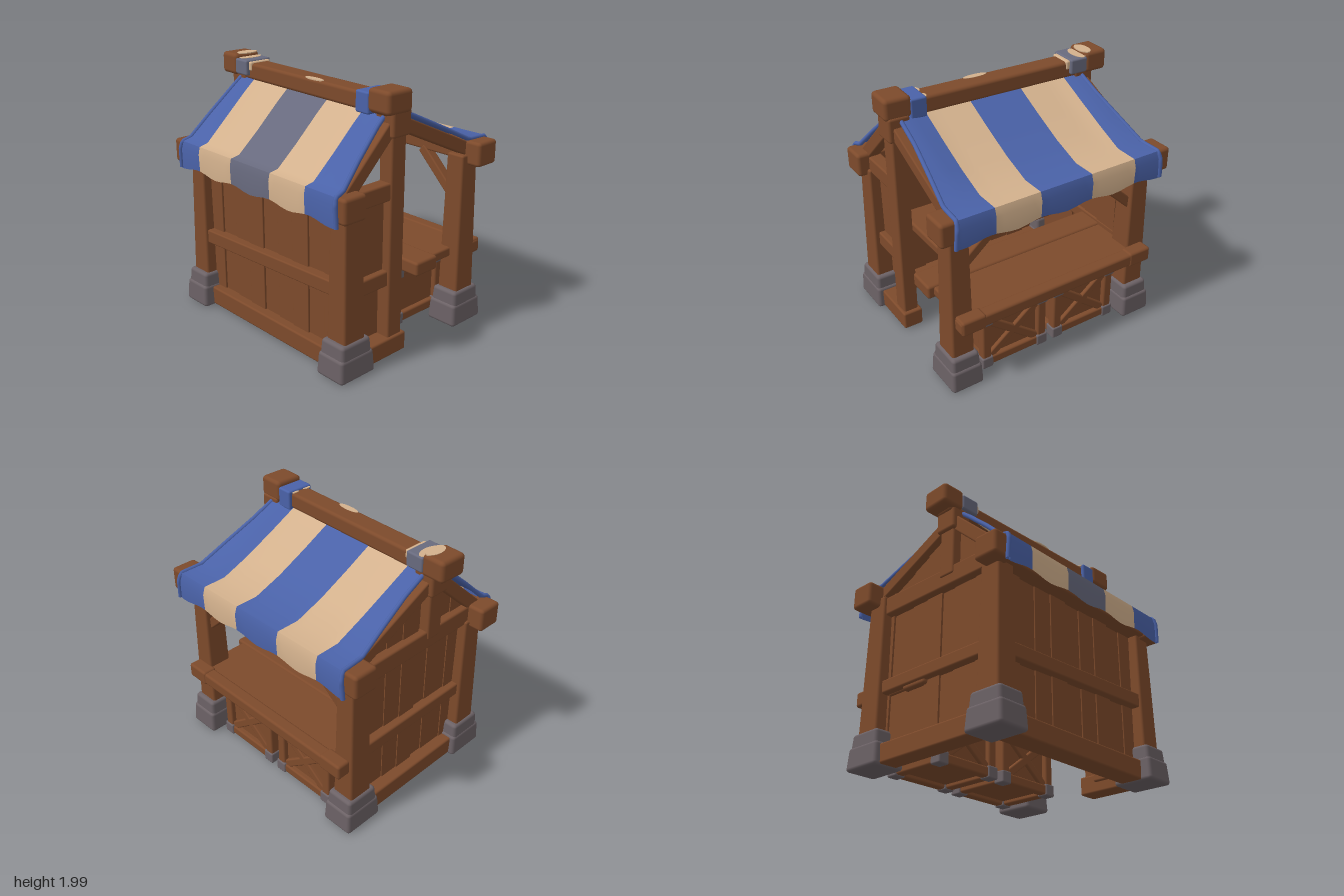
import * as THREE from 'three';
import { toCreasedNormals } from 'three/addons/utils/BufferGeometryUtils.js';
import { RoundedBoxGeometry } from 'three/addons/geometries/RoundedBoxGeometry.js';

const mat = (name, color, side = THREE.FrontSide) => {
  const m = new THREE.MeshStandardMaterial({ color, side });
  m.name = name;
  return m;
};

export function createModel() {
  const wood = mat('wood', 0x7d4a2b);
  const stone = mat('stone', 0x6c6266);
  const blue = mat('blue cloth', 0x4a62a8, THREE.DoubleSide);
  const tan = mat('tan cloth', 0xd3b18d, THREE.DoubleSide);
  const faded = mat('faded cloth', 0x686a7e, THREE.DoubleSide);
  const sackcloth = mat('sackcloth', 0xdbbf9d, THREE.DoubleSide);
  const root = new THREE.Group();
  root.name = 'marketStall';

  const add = (name, geo, m, parent = root) => {
    const mesh = new THREE.Mesh(geo, m);
    mesh.name = name;
    parent.add(mesh);
    return mesh;
  };
  // Rounded box given by its lower and upper limits on each axis
  const box = (name, x0, x1, y0, y1, z0, z1, m = wood, parent = root, r = 0.015) => {
    const w = x1 - x0, h = y1 - y0, d = z1 - z0;
    const mesh = add(name, new RoundedBoxGeometry(w, h, d, 2, Math.min(r, w / 3, h / 3, d / 3)), m, parent);
    mesh.position.set((x0 + x1) / 2, (y0 + y1) / 2, (z0 + z1) / 2);
    return mesh;
  };
  // Square timber running between two points
  const strut = (name, a, b, w, d, m = wood, parent = root) => {
    const A = new THREE.Vector3(...a), B = new THREE.Vector3(...b);
    const mesh = add(name, new RoundedBoxGeometry(w, A.distanceTo(B), d, 2, 0.012), m, parent);
    mesh.position.copy(A).add(B).multiplyScalar(0.5);
    mesh.quaternion.setFromUnitVectors(new THREE.Vector3(0, 1, 0), B.sub(A).normalize());
    return mesh;
  };
  // Scales the cross-section from k at the bottom to 1 at the top
  const taper = (mesh, k) => {
    const g = mesh.geometry, p = g.attributes.position;
    g.computeBoundingBox();
    const { min, max } = g.boundingBox;
    for (let i = 0; i < p.count; i++) {
      const t = (p.getY(i) - min.y) / (max.y - min.y);
      const s = 1 + (k - 1) * (1 - t);
      p.setX(i, p.getX(i) * s);
      p.setZ(i, p.getZ(i) * s);
    }
    return mesh;
  };

  // Corner posts on two-tier stone footings
  for (const sx of [-1, 1]) for (const sz of [-1, 1]) {
    const x = sx < 0 ? -0.61 : 0.59, z = sz * 0.795;
    taper(box('cornerPost', x - 0.083, x + 0.083, 0.1, sx < 0 ? 1.25 : 1.38, z - 0.075, z + 0.075), 1.25);
    taper(box('footingLower', x - 0.155, x + 0.155, 0.01, 0.19, z - 0.123, z + 0.123, stone, root, 0.025), 1.08);
    taper(box('footingUpper', x - 0.135, x + 0.135, 0.15, 0.29, z - 0.11, z + 0.11, stone, root, 0.025), 1.08);
  }

  // Eave beams with thicker ends
  for (const [x, y, z0, z1] of [[-0.665, 1.29, -0.98, 0.94], [0.66, 1.395, -0.98, 0.98]]) {
    box('eaveBeam', x - 0.075, x + 0.075, y - 0.075, y + 0.07, z0 + 0.05, z1 - 0.05);
    for (const [a, b] of [[z0, z0 + 0.18], [z1 - 0.18, z1]])
      box('eaveBeamEnd', x - 0.102, x + 0.102, y - 0.093, y + 0.093, a, b, wood, root, 0.025);
  }

  // Ridge beam, slightly skewed, with end blocks and cloth wraps
  const ridge = new THREE.Group();
  ridge.name = 'ridge';
  ridge.position.x = -0.185;
  ridge.rotation.y = -0.035;
  root.add(ridge);
  box('ridgeBeam', -0.085, 0.085, 1.82, 1.95, -0.9, 0.85, wood, ridge, 0.025);
  box('ridgeEndFront', -0.115, 0.115, 1.835, 2, 0.69, 0.9, wood, ridge, 0.03);
  box('ridgeEndBack', -0.115, 0.115, 1.835, 2, -0.99, -0.8, wood, ridge, 0.03);
  box('ridgeWrapFront', -0.112, 0.112, 1.81, 1.965, 0.57, 0.7, blue, ridge);
  box('ridgeWrapBack', -0.118, 0.118, 1.85, 1.97, -0.81, -0.66, faded, ridge);
  box('ridgeWrapBackHem', -0.095, 0.095, 1.89, 1.96, -0.67, -0.63, tan, ridge);
  // Worn cloth scraps on the ridge
  const scraps = [[0.01, 1.969, -0.78, 0.1, 0.05], [0.015, 1.999, -0.83, 0.09, 0.05], [-0.06, 1.948, 0.09, 0.027, 0.1],
    [-0.06, 1.95, 0.565, 0.035, 0.015], [0.05, 1.95, 0.565, 0.03, 0.015]];
  for (const [x, y, z, rx, rz] of scraps) {
    const scrap = add('ridgePatch', new THREE.CylinderGeometry(1, 1, 0.008, 14), tan, ridge);
    scrap.position.set(x, y, z);
    scrap.scale.set(rx, 1, rz);
  }

  // Gable frames: king post, head block and rafters
  for (const [z, x, y0] of [[0.8, -0.18, 0.03], [-0.8, -0.16, 1.3]]) {
    box('kingPost', x - 0.07, x + 0.07, y0, 1.75, z - 0.06, z + 0.06);
    box('kingPostHead', x - 0.09, x + 0.09, 1.67, 1.86, z - 0.085, z + 0.085, wood, root, 0.02);
    strut('rafterLeft', [x, 1.79, z], [-0.66, 1.33, z], 0.1, 0.1);
    strut('rafterRight', [x, 1.77, z], [0.64, 1.395, z], 0.1, 0.1);
  }

  // Closed front bay beside the doorway
  box('frontSill', -0.6, -0.08, 0.02, 0.165, 0.72, 0.88);
  box('frontRail', -0.6, -0.2, 0.57, 0.69, 0.74, 0.84);
  box('frontTie', -0.6, -0.2, 1.22, 1.35, 0.74, 0.85);
  box('frontPanelUpper', -0.58, -0.22, 0.62, 1.3, 0.74, 0.79);
  box('frontPanelLower', -0.58, -0.22, 0.1, 0.62, 0.7, 0.75);

  // Back wall planks, cut along the roof slope
  const roofY = x => (x < -0.19 ? 1.75 + (x + 0.19) * 0.87 : 1.75 - (x + 0.19) * 0.46);
  const planks = [-0.62, -0.41, -0.19, -0.06, 0.1, 0.26, 0.47, 0.62];
  for (let i = 0; i < planks.length - 1; i++) {
    const a = planks[i], b = planks[i + 1];
    const shape = new THREE.Shape([[a, 0.06], [b, 0.06], [b, roofY(b)], [a, roofY(a)]].map(p => new THREE.Vector2(...p)));
    const g = new THREE.ExtrudeGeometry(shape, { depth: 0.035, bevelEnabled: false });
    add('backPlank', g, wood).position.z = -0.795 + (i * 7 % 3) * 0.008;
  }
  box('backSill', -0.6, 0.6, 0.02, 0.17, -0.88, -0.72);
  box('backRail', -0.6, 0.6, 0.57, 0.675, -0.85, -0.74);
  box('backTie', -0.6, 0.6, 1.22, 1.37, -0.85, -0.73);

  // Long left wall planks with sill and rail
  for (let i = 0; i < 9; i++) {
    const z = -0.75 + i * 0.1667, o = (i * 5 % 3) * 0.008;
    box('sidePlank', -0.625 + o, -0.585 + o, 0.05, 1.27, z - 0.002, z + 0.1687, wood, root, 0.005);
  }
  box('sideSill', -0.69, -0.5, 0.02, 0.17, -0.75, 0.75);
  strut('sideRail', [-0.64, 0.6, -0.78], [-0.64, 0.66, 0.78], 0.09, 0.11);

  // Knee braces over the serving side
  for (const s of [-1, 1]) strut('kneeBrace', [0.6, 1.0, s * 0.76], [0.62, 1.33, s * 0.4], 0.08, 0.075);

  // Counter
  box('counterTop', 0.1, 0.74, 0.56, 0.635, -0.8, 0.8);
  box('counterInnerBeam', 0.06, 0.29, 0.54, 0.65, -0.83, 0.85, wood, root, 0.02);
  box('counterOuterBeam', 0.68, 0.785, 0.545, 0.645, -0.84, 0.86, wood, root, 0.02);
  for (const s of [-1, 1]) box('counterBeamEnd', 0.675, 0.79, 0.535, 0.655, s * 0.755 - 0.1, s * 0.755 + 0.1, wood, root, 0.02);

  // Two framed crates with cross braces and metal corners
  for (const zc of [0.32, -0.325]) {
    const c = new THREE.Group();
    c.name = 'crate';
    c.position.set(0.38, 0.265, zc);
    root.add(c);
    const hx = 0.27, hy = 0.235, hz = 0.285, t = 0.075, k = 0.095;
    box('crateBody', -hx + 0.04, hx - 0.04, -hy + 0.03, hy - 0.03, -hz + 0.04, hz - 0.04, wood, c);
    for (const a of [-1, 1]) for (const b of [-1, 1]) {
      const rail = (w, h, d, x, y, z) => box('crateRail', x - w / 2, x + w / 2, y - h / 2, y + h / 2, z - d / 2, z + d / 2, wood, c);
      const ex = hx - t / 2, ey = hy - t / 2, ez = hz - t / 2;
      rail(2 * hx - 0.02, t, t, 0, a * ey, b * ez);
      rail(t, 2 * hy - 0.02, t, a * ex, 0, b * ez);
      rail(t, t, 2 * hz - 0.02, a * ex, b * ey, 0);
      strut('crateCross', [a * 0.238, -hy + 0.06, -b * (hz - 0.06)], [a * 0.238, hy - 0.06, b * (hz - 0.06)], 0.04, 0.065, wood, c);
      for (const d of [-1, 1]) {
        const m = add('crateCorner', new RoundedBoxGeometry(k, k, k, 2, 0.012), stone, c);
        m.position.set(a * (hx - k / 2 + 0.01), b * (hy - k / 2 + 0.01), d * (hz - k / 2 + 0.01));
      }
    }
  }

  // Shelf
  box('shelf', -0.56, 0.05, 0.7, 0.78, -0.61, 0.62, wood, root, 0.02);

  // Tied sacks with ruffled mouths
  const sack = [[0, 0.78], [0.18, 0.78], [0.2, 0.805], [0.194, 0.86], [0.163, 0.92], [0.115, 0.965], [0.074, 0.995],
    [0.08, 1.03], [0.11, 1.065], [0.128, 1.1], [0.1, 1.11], [0.05, 1.09], [0, 1.08]];
  for (const z of [0.245, -0.222]) {
    const g = new THREE.LatheGeometry(sack.map(p => new THREE.Vector2(...p)), 32);
    const p = g.attributes.position;
    for (let i = 0; i < p.count; i++) {
      const y = p.getY(i);
      if (y > 1.04) p.setY(i, y + 0.012 * Math.sin(4 * Math.atan2(p.getZ(i), p.getX(i))));
    }
    g.computeVertexNormals();
    add('sack', g, sackcloth).position.set(-0.13, 0, z);
    const tie = add('sackTie', new THREE.CylinderGeometry(0.085, 0.092, 0.04, 24), blue);
    tie.position.set(-0.13, 0.998, z);
  }

  // Striped awning: each slope follows a profile of [x, y, half depth, sag between the gables]
  const slopes = [
    [[-0.19, 1.87, 0.79, 0.02], [0.1, 1.735, 0.8, 0.035], [0.35, 1.615, 0.83, 0.035], [0.58, 1.5, 0.86, 0.005], [0.765, 1.493, 0.87, 0], [0.785, 1.43, 0.88, 0], [0.78, 1.285, 0.89, 0]],
    [[-0.19, 1.87, 0.79, 0.02], [-0.33, 1.755, 0.8, 0.025], [-0.53, 1.575, 0.83, 0.03], [-0.7, 1.41, 0.86, 0.01], [-0.775, 1.387, 0.87, 0], [-0.788, 1.33, 0.88, 0], [-0.783, 1.18, 0.885, 0]],
  ];
  const edges = [-1, -0.63, -0.24, 0.2, 0.57, 1];
  slopes.forEach((prof, side) => {
    const last = prof.length - 1;
    for (let s = 0; s < 5; s++) {
      const g = new THREE.PlaneGeometry(1, 1, 6, last);
      const p = g.attributes.position;
      for (let i = 0; i < p.count; i++) {
        const u = p.getX(i) + 0.5, row = Math.round((0.5 - p.getY(i)) * last);
        const [x, y, hd, sag] = prof[row];
        const z0 = s === 0 ? -hd : edges[s], z1 = s === 4 ? hd : edges[s + 1];
        const z = z0 + (z1 - z0) * u;
        const wave = row === last ? -0.014 * Math.cos((z + 0.02) * 15) : 0;
        const drop = sag * (1 - THREE.MathUtils.smoothstep(Math.abs(z), 0.5, 0.75));
        p.setXYZ(i, x, y + wave - drop, z);
      }
      const m = s % 2 ? tan : s === 2 && side === 1 ? faded : blue;
      add('awningStripe', toCreasedNormals(g, 0.7), m);
    }
    // Rolled hems along the gable edges
    for (const sz of [-1, 1]) {
      const path = new THREE.CurvePath();
      const pts = prof.map(([x, y, hd]) => new THREE.Vector3(x, y - 0.004, sz * (hd - 0.01)));
      for (let i = 0; i < last; i++) path.add(new THREE.LineCurve3(pts[i], pts[i + 1]));
      add('awningHem', new THREE.TubeGeometry(path, 40, 0.017, 8), blue);
    }
  });
  return root;
}
